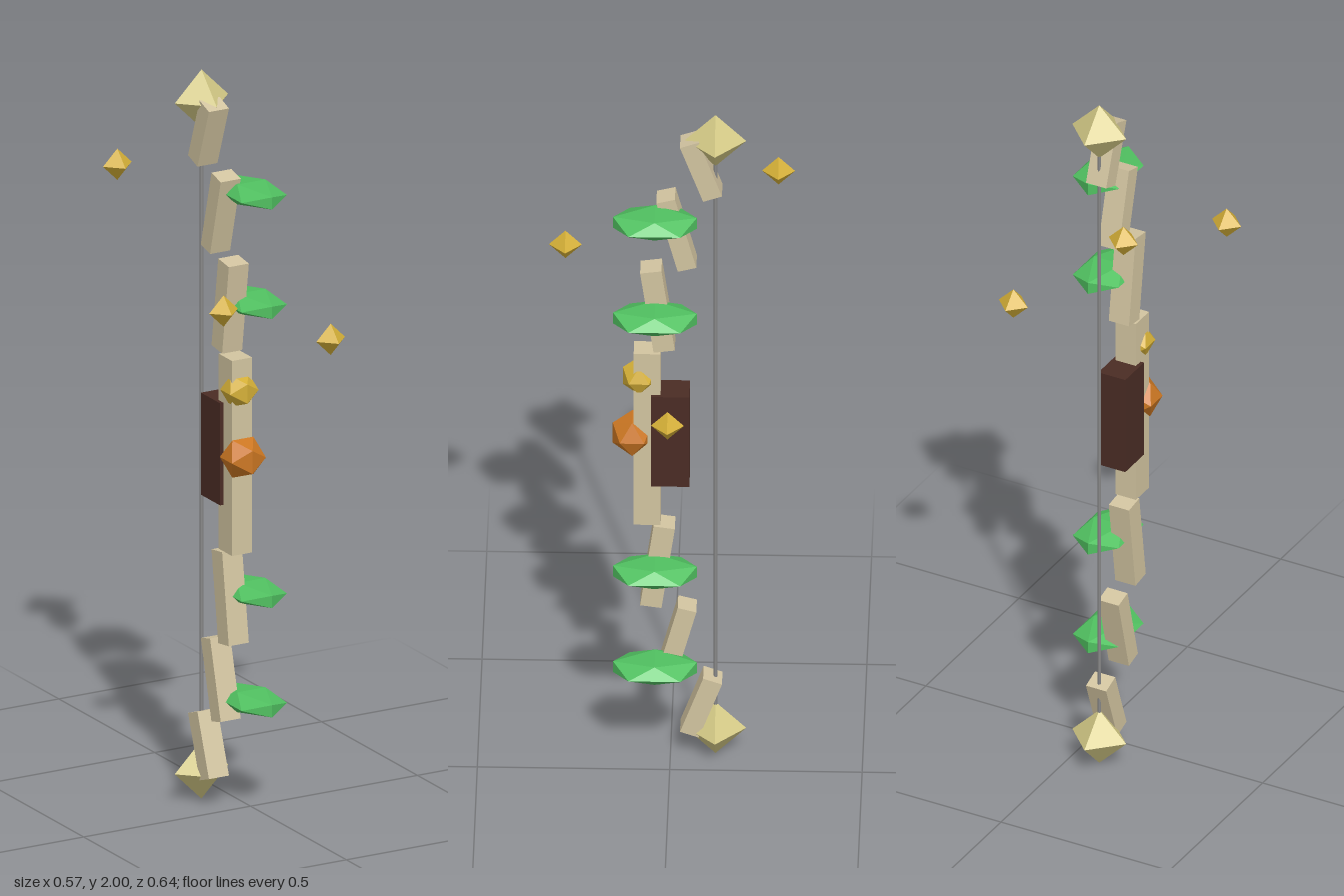
import * as THREE from 'three';

const material = (name, color) => {
  const m = new THREE.MeshStandardMaterial({ color, flatShading: true });
  m.name = name;
  return m;
};

export function createModel() {
  const bone = material('bone', 0xd2c4a0);
  const ivory = material('pale ivory', 0xd4ca86);
  const gold = material('gold', 0xd4af37);
  const amber = material('amber', 0xcc7722);
  const green = material('leaf green', 0x50c060);
  const brown = material('dark brown', 0x4a2c24);
  const grey = material('string grey', 0x888888);

  const bow = new THREE.Group();
  bow.name = 'bow';
  const X = -0.08; // plane of the bow
  const add = (name, geometry, mat, x, y, z, tilt = 0) => {
    const mesh = new THREE.Mesh(geometry, mat);
    mesh.name = name;
    mesh.position.set(x, y, z);
    mesh.rotation.x = tilt;
    bow.add(mesh);
    return mesh;
  };

  // Grip and central stave
  add('grip', new THREE.BoxGeometry(0.08, 0.28, 0.1), brown, X, 1.0, 0);
  add('centralStave', new THREE.BoxGeometry(0.06, 0.535, 0.07), bone, X, 1.0, 0.06);

  // Limb segments, tips and leaves, mirrored above and below the grip
  const segments = [ // offset from grip, z, length, depth, tilt
    [0.4, 0.033, 0.25, 0.056, 0.14],
    [0.64, -0.016, 0.22, 0.05, 0.256],
    [0.84, -0.08, 0.178, 0.052, 0.345],
  ];
  for (const s of [1, -1]) {
    const side = s > 0 ? 'upper' : 'lower';
    segments.forEach(([dy, z, length, depth, tilt], i) =>
      add(`${side}Limb${i + 1}`, new THREE.BoxGeometry(0.06, length, depth), bone, X, 1 + s * dy, z, s * tilt));
    add(`${side}Tip`, new THREE.OctahedronGeometry(0.08), ivory, X, 1 + s * 0.92, -0.117);
  }

  // Flattened leaves
  for (const y of [0.307, 0.607, 1.4, 1.7]) {
    add('leaf', new THREE.IcosahedronGeometry(0.08), green, -0.02, y, 0.039).scale.set(1, 0.4, 1.6);
  }

  // Bowstring
  add('bowstring', new THREE.CylinderGeometry(0.005, 0.005, 1.84, 6), grey, X, 1.0, -0.117);

  // Gems set in the front of the stave
  add('amberGem', new THREE.IcosahedronGeometry(0.06), amber, X, 1.0, 0.099);
  add('goldGem', new THREE.IcosahedronGeometry(0.05), gold, X, 1.18, 0.081);

  // Floating shards in a spiral around the bow
  for (const [x, y, z] of [[0.24, 1.24, 0], [-0.24, 1.48, 0.277], [-0.24, 1.72, -0.277]]) {
    add('floatingShard', new THREE.OctahedronGeometry(0.043), gold, x, y, z);
  }

  return bow;
}
